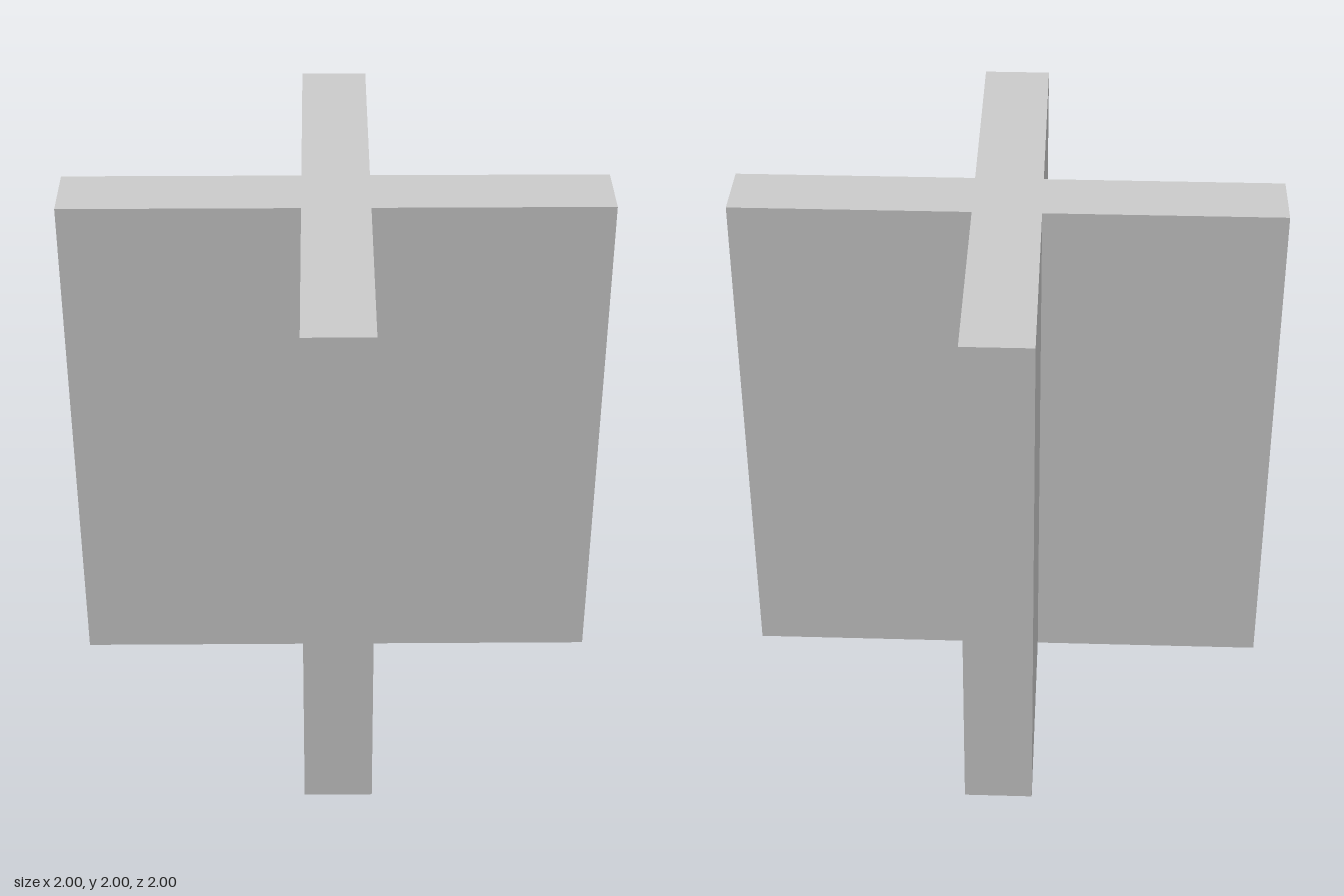
import * as THREE from 'three';

const REACH = 1;         // centre to the end of each wall
const HALF = 0.125;      // half the wall thickness
const HEIGHT = 2;

export function createModel() {
  const group = new THREE.Group();
  group.name = 'crossColumn';

  // Plus-shaped outline: three corners per arm, turned a quarter at a time
  const outline = [];
  for (let i = 0; i < 4; i++) {
    const c = [1, 0, -1, 0][i];
    const s = [0, 1, 0, -1][i];
    for (const [x, y] of [[REACH, -HALF], [REACH, HALF], [HALF, HALF]]) {
      outline.push(new THREE.Vector2(x * c - y * s, x * s + y * c));
    }
  }

  // Crossed walls, extruded upright from the ground
  const geometry = new THREE.ExtrudeGeometry(new THREE.Shape(outline), {
    depth: HEIGHT,
    bevelEnabled: false,
  });
  geometry.rotateX(-Math.PI / 2);

  const walls = new THREE.Mesh(
    geometry,
    new THREE.MeshStandardMaterial({ color: 0xcccccc, flatShading: true })
  );
  walls.name = 'crossedWalls';
  group.add(walls);
  return group;
}
